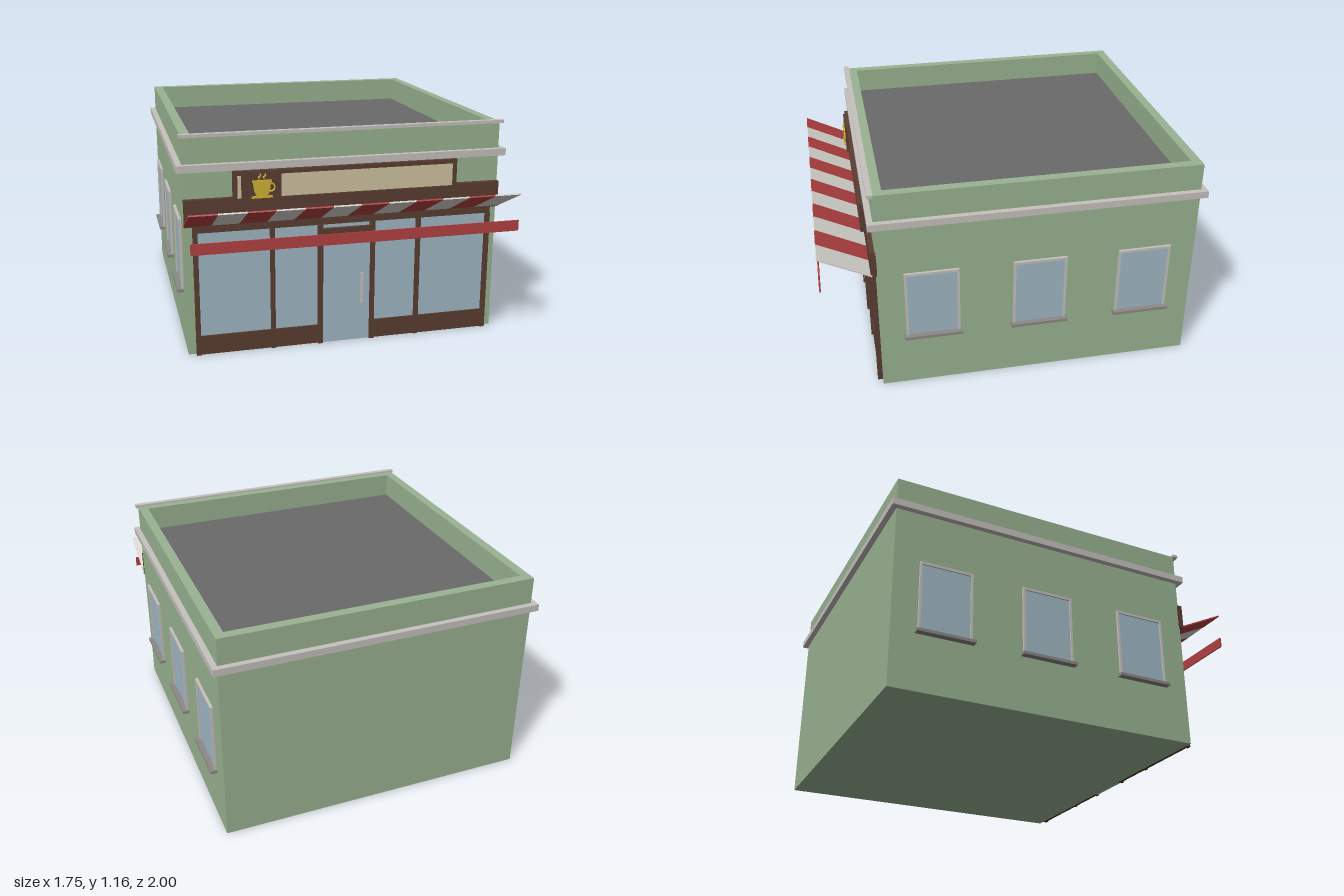
import * as THREE from 'three';

const mat = (name, color) => {
  const m = new THREE.MeshStandardMaterial({ color });
  m.name = name;
  return m;
};

export function createModel() {
  const model = new THREE.Group();
  model.name = 'cafe';
  const wall = mat('wall green', 0x9ab492);
  const roofGray = mat('roof gray', 0x6a6a6a);
  const trim = mat('trim gray', 0xc6c2be);
  const sillGray = mat('sill gray', 0x8c8885);
  const glass = mat('glass blue', 0xa1b9c6);
  const wood = mat('wood brown', 0x5b3e32);
  const cream = mat('sign cream', 0xd0c5a3);
  const gold = mat('cup gold', 0xd2b432);
  const red = mat('awning red', 0xb54142);
  const white = mat('awning white', 0xdedbd4);

  const add = (name, geometry, material, parent = model) => {
    const mesh = new THREE.Mesh(geometry, material);
    mesh.name = name;
    parent.add(mesh);
    return mesh;
  };
  // Box given by its limits on each axis
  const box = (name, material, x0, x1, y0, y1, z0, z1, parent) => {
    const mesh = add(name, new THREE.BoxGeometry(x1 - x0, y1 - y0, z1 - z0), material, parent);
    mesh.position.set((x0 + x1) / 2, (y0 + y1) / 2, (z0 + z1) / 2);
    return mesh;
  };
  const rect = (Type, x, z0, z1) => new Type([
    new THREE.Vector2(-x, -z1), new THREE.Vector2(x, -z1),
    new THREE.Vector2(x, -z0), new THREE.Vector2(-x, -z0)]);
  // Rectangular ring lying flat: outer and inner half width and z limits
  const ring = (name, material, [ox, oz0, oz1], [ix, iz0, iz1], y0, y1) => {
    const shape = rect(THREE.Shape, ox, oz0, oz1);
    shape.holes.push(rect(THREE.Path, ix, iz0, iz1));
    const g = new THREE.ExtrudeGeometry(shape, { depth: y1 - y0, bevelEnabled: false });
    g.rotateX(-Math.PI / 2).translate(0, y0, 0);
    return add(name, g, material);
  };

  // Building shell, parapet and roof
  const outer = [0.84, -0.97, 0.715], inner = [0.79, -0.92, 0.66];
  box('walls', wall, -0.84, 0.84, 0, 0.99, -0.97, 0.715);
  ring('parapet', wall, outer, inner, 0.99, 1.155);
  box('roof', roofGray, -0.79, 0.79, 0.99, 1.02, -0.92, 0.66);
  ring('cornice', trim, [0.87, -1, 0.745], [0.83, -0.96, 0.705], 0.975, 1.012);
  box('frontCap', trim, -0.853, 0.853, 1.148, 1.165, 0.707, 0.737);

  // Side windows, mirrored left and right
  for (const side of [-1, 1]) {
    for (const z of [0.437, -0.13, -0.693]) {
      const win = new THREE.Group();
      win.name = 'sideWindow';
      win.position.set(side * 0.84, 0, z);
      win.rotation.y = side * Math.PI / 2;
      model.add(win);
      box('windowGlass', glass, -0.13, 0.13, 0.315, 0.68, 0, 0.006, win);
      box('windowTop', trim, -0.142, 0.142, 0.68, 0.694, 0, 0.014, win);
      for (const s of [-1, 1]) box('windowJamb', trim, s * 0.136 - 0.006, s * 0.136 + 0.006, 0.314, 0.68, 0, 0.014, win);
      box('windowSill', sillGray, -0.153, 0.153, 0.299, 0.315, 0, 0.035, win);
    }
  }

  // Shop front
  const front = new THREE.Group();
  front.name = 'shopFront';
  model.add(front);
  for (const s of [-1, 1]) {
    const span = (name, m, a, b, y0, y1, z1) =>
      box(name, m, Math.min(s * a, s * b), Math.max(s * a, s * b), y0, y1, 0.714, z1, front);
    span('shopGlass', glass, 0.15, 0.78, 0.1, 0.665, 0.724);
    span('basePanel', wood, 0.15, 0.78, 0, 0.102, 0.733);
    span('outerPost', wood, 0.776, 0.8, 0, 0.665, 0.742);
    span('middlePost', wood, 0.383, 0.406, 0, 0.665, 0.742);
    span('doorPost', wood, 0.128, 0.154, 0, 0.665, 0.745);
  }
  box('topRail', wood, -0.8, 0.8, 0.66, 0.697, 0.714, 0.736, front);
  box('doorHeader', wood, -0.128, 0.128, 0.597, 0.638, 0.714, 0.747, front);
  box('transomGlass', glass, -0.128, 0.128, 0.638, 0.665, 0.714, 0.724, front);
  box('doorGlass', glass, -0.13, 0.13, 0.002, 0.597, 0.714, 0.737, front);
  box('doorHandle', trim, 0.074, 0.087, 0.214, 0.386, 0.747, 0.758, front);
  for (const y of [0.235, 0.36]) box('handleMount', trim, 0.076, 0.085, y, y + 0.012, 0.735, 0.749, front);
  box('fascia', wood, -0.84, 0.84, 0.695, 0.835, 0.71, 0.742, front);

  // Striped awning rising outward, with a hanging valance
  const awning = new THREE.Group();
  awning.name = 'awning';
  model.add(awning);
  const run = 0.263, rise = 0.13, width = 1.69 / 12;
  for (let i = 0; i < 12; i++) {
    const stripe = add('awningStripe', new THREE.BoxGeometry(width, 0.008, Math.hypot(run, rise)),
      i % 2 ? white : red, awning);
    stripe.position.set(-0.845 + (i + 0.5) * width, 0.766, 0.867);
    stripe.rotation.x = -Math.atan2(rise, run);
  }
  box('valance', red, -0.84, 0.84, 0.636, 0.692, 0.993, 1.0, awning);

  // Sign with a framed panel
  const sign = new THREE.Group();
  sign.name = 'sign';
  model.add(sign);
  box('signPanel', cream, -0.575, 0.57, 0.833, 0.952, 0.714, 0.756, sign);
  box('signTop', wood, -0.592, 0.588, 0.952, 0.975, 0.714, 0.765, sign);
  box('signBottom', wood, -0.592, 0.588, 0.81, 0.833, 0.714, 0.765, sign);
  box('signRightEnd', wood, -0.592, -0.573, 0.833, 0.952, 0.714, 0.765, sign);
  box('signLeftEnd', wood, 0.568, 0.588, 0.833, 0.952, 0.714, 0.765, sign);
  box('cupPlaque', wood, -0.553, -0.352, 0.814, 0.972, 0.75, 0.774, sign);

  // Cup emblem in low relief
  const cup = new THREE.Group();
  cup.name = 'cup';
  cup.position.set(-0.452, 0, 0.773);
  sign.add(cup);
  const body = new THREE.Shape([[-0.028, 0.846], [0.028, 0.846], [0.04, 0.872], [0.046, 0.925], [-0.046, 0.925], [-0.04, 0.872]]
    .map(([x, y]) => new THREE.Vector2(x, y)));
  add('cupBody', new THREE.ExtrudeGeometry(body, { depth: 0.009, bevelEnabled: false }), gold, cup);
  box('cupRim', gold, -0.049, 0.049, 0.917, 0.927, 0, 0.012, cup);
  box('saucer', gold, -0.053, 0.053, 0.836, 0.846, 0, 0.012, cup);
  const handle = add('cupHandle', new THREE.TorusGeometry(0.02, 0.005, 8, 20), gold, cup);
  handle.position.set(0.045, 0.888, 0.004);
  for (const x of [-0.012, 0.013]) {
    const path = new THREE.CatmullRomCurve3([[0, 0.932], [-0.005, 0.941], [0.006, 0.95], [0.003, 0.962]]
      .map(([dx, y]) => new THREE.Vector3(x + dx, y, 0.004)));
    add('steam', new THREE.TubeGeometry(path, 12, 0.0045, 6), gold, cup);
  }
  return model;
}
